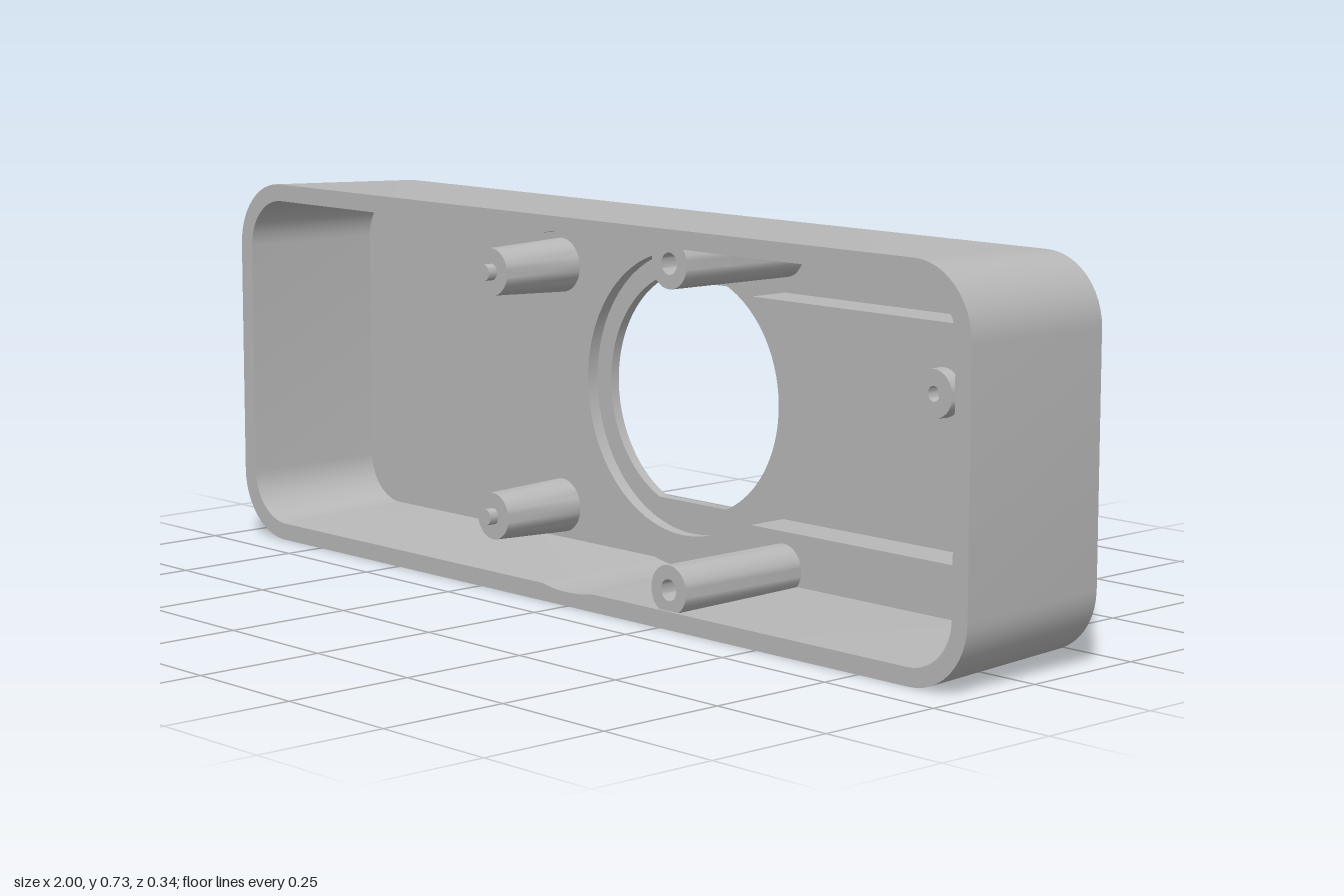
import * as THREE from 'three';
import { toCreasedNormals } from 'three/addons/utils/BufferGeometryUtils.js';

const BACK = -0.17, LEDGE = -0.15, FLOOR = -0.125, FRONT = 0.17;
const MID = 0.3625; // height of the centre line

// Rounded rectangle, counter-clockwise; clearance > 0 bulges the long edges around the eyepiece
function contour(halfW, halfH, r, clearance = 0) {
  const pts = [];
  const corner = (sx, sy, start) => {
    for (let i = 0; i <= 12; i++) {
      const a = start + (i / 12) * Math.PI / 2;
      pts.push(new THREE.Vector2(sx * (halfW - r) + r * Math.cos(a), MID + sy * (halfH - r) + r * Math.sin(a)));
    }
  };
  const edge = (s) => {
    for (let i = -8; i <= 8; i++) {
      const x = -s * i * 0.01;
      const h = Math.max(halfH, clearance ? Math.sqrt(clearance * clearance - x * x) : 0);
      pts.push(new THREE.Vector2(x, MID + s * h));
    }
  };
  corner(1, 1, 0);
  edge(1);
  corner(-1, 1, Math.PI / 2);
  corner(-1, -1, Math.PI);
  edge(-1);
  corner(1, -1, Math.PI * 1.5);
  return pts;
}

// Skin through closed loops of equal length
function loft(loops) {
  const pos = [], idx = [], n = loops[0].pts.length;
  for (const { pts, z } of loops) for (const p of pts) pos.push(p.x, p.y, z);
  for (let i = 0; i < loops.length - 1; i++) {
    for (let j = 0; j < n; j++) {
      const a = i * n + j, b = i * n + (j + 1) % n;
      idx.push(a, b, a + n, b, b + n, a + n);
    }
  }
  const g = new THREE.BufferGeometry();
  g.setAttribute('position', new THREE.Float32BufferAttribute(pos, 3));
  g.setIndex(idx);
  return toCreasedNormals(g, 0.5);
}

const circle = (x, y, r) => new THREE.Path().absarc(x, y, r, 0, Math.PI * 2, true);

function plate(pts, holes, z0, z1) {
  const shape = new THREE.Shape(pts);
  shape.holes.push(...holes);
  const g = new THREE.ExtrudeGeometry(shape, { depth: z1 - z0, bevelEnabled: false, curveSegments: 32 });
  g.translate(0, 0, z0);
  return toCreasedNormals(g, 0.5);
}

// Turned part along z; profile is [radius, z] pairs
function turned(profile) {
  const g = new THREE.LatheGeometry(profile.map(([r, z]) => new THREE.Vector2(r, z)), 32);
  g.rotateX(Math.PI / 2);
  return toCreasedNormals(g, 0.5);
}

export function createModel() {
  const group = new THREE.Group();
  const grey = new THREE.MeshStandardMaterial({ color: 0xb8b8b8 });
  grey.name = 'grey plastic';
  const add = (name, geometry, x = 0, y = 0, z = 0) => {
    const m = new THREE.Mesh(geometry, grey);
    m.name = name;
    m.position.set(x, y, z);
    group.add(m);
  };

  // Drafted walls with an open front
  const outerBack = contour(0.988, 0.3505, 0.125);
  add('walls', loft([
    { pts: outerBack, z: BACK },
    { pts: contour(1, 0.3625, 0.13), z: FRONT },
    { pts: contour(0.965, 0.329, 0.098, 0.336), z: FRONT },
    { pts: contour(0.955, 0.32, 0.09, 0.33), z: FLOOR },
  ]));

  const shortPosts = [[-0.348, 0.585], [-0.348, 0.107]];
  const tallPosts = [[0.272, 0.663], [0.272, 0.072]];
  const screwHoles = () => [...shortPosts, ...tallPosts].map(([x, y]) => circle(x, y, 0.03));

  // Round opening with flat top and bottom
  const flat = Math.asin(0.2125 / 0.232);
  const opening = new THREE.Path();
  opening.absarc(0, MID + 0.005, 0.232, flat, -flat, true);
  opening.absarc(0, MID + 0.005, 0.232, Math.PI + flat, Math.PI - flat, true);
  opening.closePath();
  add('backPlate', plate(outerBack, [opening, ...screwHoles()], BACK, LEDGE));

  // Inner floor with the round seat around the opening
  add('floor', plate(contour(0.975, 0.336, 0.11),
    [circle(0, MID + 0.005, 0.272), ...screwHoles()], LEDGE, FLOOR));

  // Short posts with locating pins, bored from the back
  for (const [x, y] of shortPosts) {
    add('shortPost', turned([[0.053, FLOOR], [0.046, 0.055], [0.016, 0.055], [0.016, 0.075], [0, 0.075]]), x, y);
    add('shortPostBore', turned([[0, 0.02], [0.03, 0.02], [0.03, FLOOR]]), x, y);
  }

  // Tall posts bored right through
  for (const [x, y] of tallPosts) {
    add('tallPost', turned([[0.047, FLOOR], [0.046, 0.165], [0.02, 0.165], [0.02, 0.1],
      [0.03, 0.1], [0.03, FLOOR]]), x, y);
  }

  // Low screw bosses
  for (const x of [0.668, 0.873]) {
    add('boss', turned([[0.045, FLOOR], [0.044, -0.1], [0.014, -0.1], [0.014, FLOOR]]), x, 0.447);
  }

  // Board rails
  for (const y of [0.579, 0.157]) {
    add('rail', new THREE.BoxGeometry(0.643, 0.016, 0.095), 0.5935, y, -0.0875);
  }
  return group;
}
